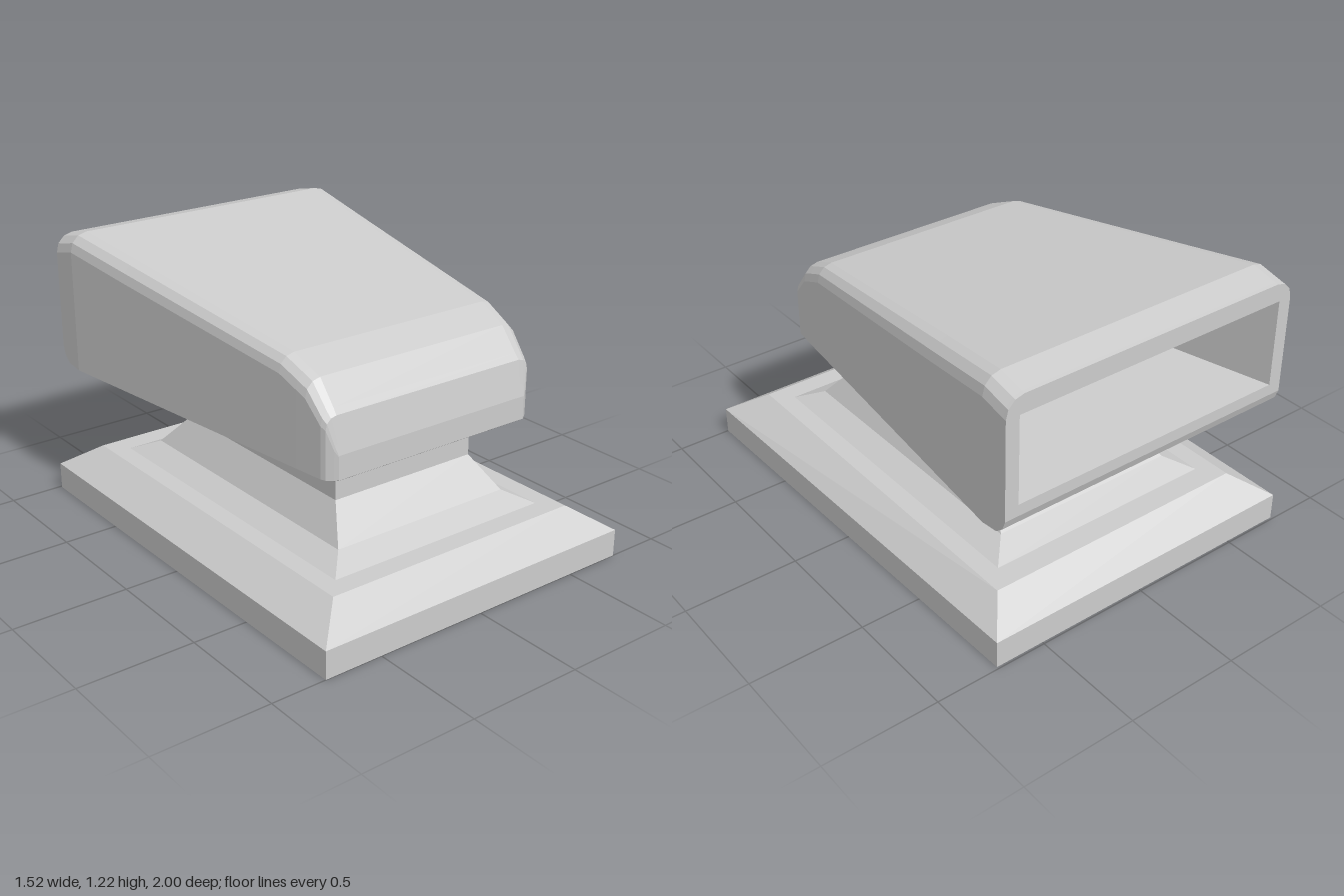
import * as THREE from 'three';

const material = new THREE.MeshStandardMaterial({ color: 0xcccccc, flatShading: true, side: THREE.DoubleSide });

// Skin a list of equal-length rings of [x, y, z] points, optionally capping either end
function loft(name, rings, capStart, capEnd) {
  const n = rings[0].length;
  const index = [];
  for (let i = 0; i < rings.length - 1; i++) {
    for (let j = 0; j < n; j++) {
      const a = i * n + j, b = i * n + (j + 1) % n;
      index.push(a, b, b + n, a, b + n, a + n);
    }
  }
  const last = (rings.length - 1) * n;
  for (let j = 1; j < n - 1; j++) {
    if (capStart) index.push(0, j + 1, j);
    if (capEnd) index.push(last, last + j, last + j + 1);
  }
  const indexed = new THREE.BufferGeometry();
  indexed.setAttribute('position', new THREE.Float32BufferAttribute(rings.flat(2), 3));
  indexed.setIndex(index);
  const geometry = indexed.toNonIndexed();
  geometry.computeVertexNormals();
  const mesh = new THREE.Mesh(geometry, material);
  mesh.name = name;
  return mesh;
}

// Horizontal rectangle used by the base and the neck
const level = (y, x, front, back, backRight = x) =>
  [[x, y, front], [backRight, y, back], [-x, y, back], [-x, y, front]];

// Hood section: shallow keel below, rounded shoulders above
function hoodSection([z, w, keelX, keelY, sideY, top, r]) {
  const half = [
    [keelX, keelY], [w, sideY], [w, top - r],
    [w - 0.13 * r, top - 0.5 * r], [w - 0.5 * r, top - 0.13 * r], [w - r, top],
  ];
  const mirrored = half.map(([x, y]) => [-x, y]).reverse();
  return [...half, ...mirrored].map(([x, y]) => [x, y, z]);
}

export function createModel() {
  const group = new THREE.Group();

  // Bevelled slab, slightly narrower at one rear corner
  group.add(loft('baseSlab', [
    level(0, 0.76, 1, -0.99, 0.72),
    level(0.12, 0.76, 1, -0.99, 0.72),
    level(0.22, 0.61, 0.85, -0.85),
  ], true, true));

  // Flared neck between slab and hood
  group.add(loft('neck', [
    level(0.219, 0.53, 0.76, -0.75),
    level(0.27, 0.43, 0.65, -0.64),
    level(0.41, 0.35, 0.53, -0.51),
    level(0.58, 0.35, 0.53, -0.51),
  ], false, true));

  // Hood stations: z, half width, keel half width, keel y, side bottom y, top y, shoulder radius
  const stations = [
    [-1, 0.695, 0.6, 0.68, 0.68, 1.19, 0.08],
    [-0.985, 0.695, 0.6, 0.64, 0.64, 1.193, 0.08],
    [-0.95, 0.695, 0.6, 0.61, 0.61, 1.201, 0.08],
    [-0.87, 0.695, 0.6, 0.6, 0.6, 1.22, 0.08],
    [-0.51, 0.655, 0.35, 0.57, 0.6, 1.168, 0.08],
    [0.44, 0.549, 0.35, 0.57, 0.6, 1.03, 0.07],
    [0.53, 0.539, 0.35, 0.57, 0.6, 0.992, 0.07],
    [0.58, 0.533, 0.4, 0.571, 0.6, 0.97, 0.07],
    [0.66, 0.523, 0.46, 0.574, 0.6, 0.874, 0.06],
    [0.68, 0.515, 0.46, 0.582, 0.6, 0.85, 0.05],
    [0.70, 0.49, 0.46, 0.593, 0.6, 0.75, 0.03],
    [0.71, 0.475, 0.46, 0.6, 0.6, 0.70, 0.005],
  ];
  const sections = stations.map(hoodSection);
  group.add(loft('hood', sections, false, true));

  // Rear frame around the opening
  const rectangle = (x, y0, y1, z) => [[x, y0, z], [x, y1, z], [-x, y1, z], [-x, y0, z]];
  const mouth = rectangle(0.635, 0.73, 1.11, -1);
  const flat = (ring) => ring.map(([x, y]) => new THREE.Vector2(x, y));
  const frameShape = new THREE.Shape(flat(sections[0]));
  frameShape.holes.push(new THREE.Path(flat(mouth)));
  const frame = new THREE.Mesh(new THREE.ShapeGeometry(frameShape).rotateY(Math.PI), material);
  frame.position.z = -1;
  frame.name = 'rearFrame';
  group.add(frame);

  // Tapered recess behind the opening, wound to face inward
  const recess = [mouth, rectangle(0.49, 0.74, 1.02, -0.47)].map((ring) => [...ring].reverse());
  group.add(loft('recess', recess, false, true));

  return group;
}
